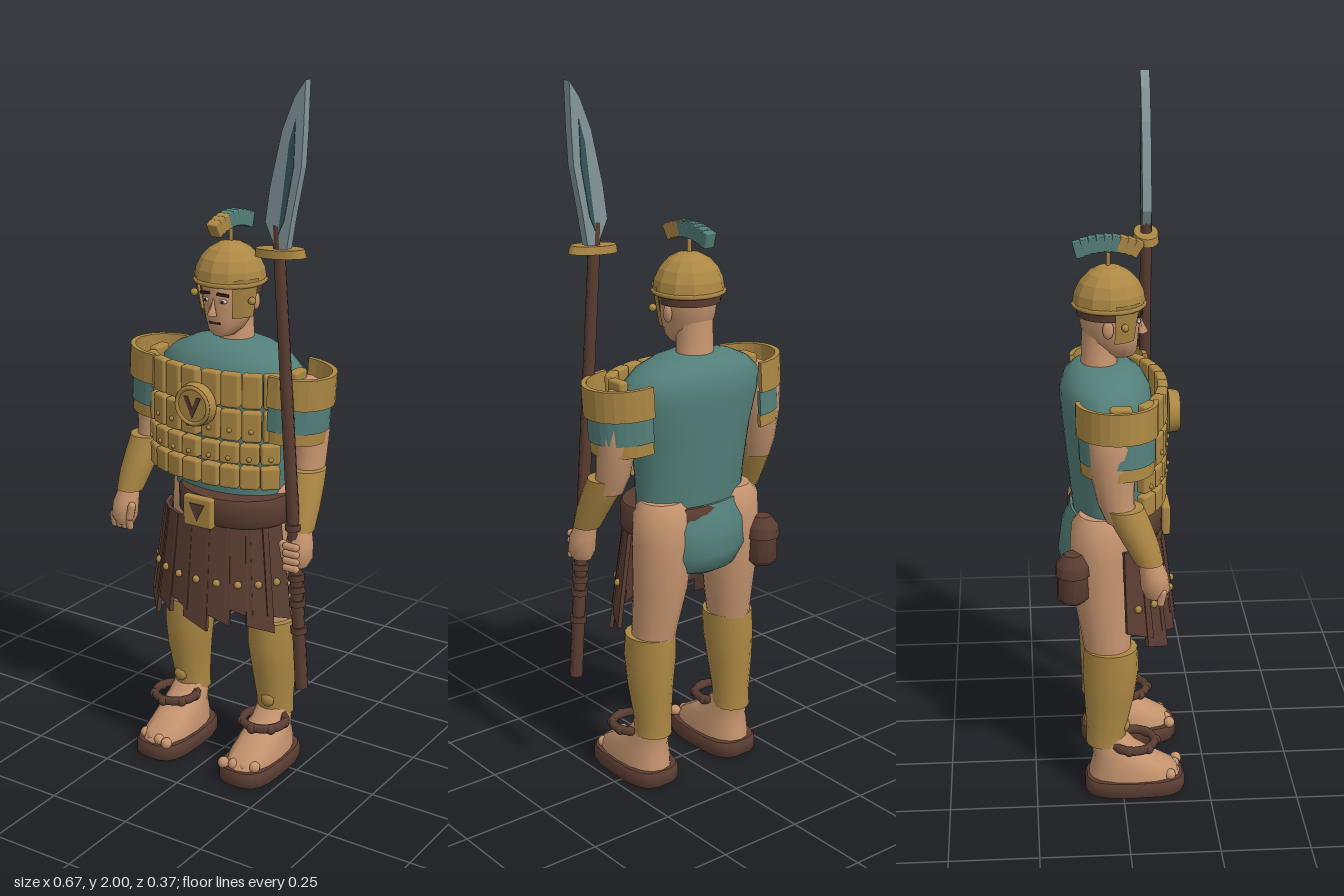
import * as THREE from 'three';
import { toCreasedNormals } from 'three/addons/utils/BufferGeometryUtils.js';
import { RoundedBoxGeometry } from 'three/addons/geometries/RoundedBoxGeometry.js';

const mat = (name, color, side = THREE.FrontSide) =>
  Object.assign(new THREE.MeshStandardMaterial({ color, side }), { name });

export function createModel() {
  const gold = mat('gold', 0xac8844, THREE.DoubleSide);
  const teal = mat('teal cloth', 0x54807a);
  const skin = mat('skin', 0xc5946f);
  const brown = mat('brown leather', 0x5a3d32);
  const steel = mat('steel', 0x83969a);
  const dark = mat('dark brown', 0x33231e);
  const slate = mat('dark slate', 0x35565a);
  const white = mat('eye white', 0xd8cfc4);

  const model = new THREE.Group();
  model.name = 'guard';
  const add = (name, geo, m, pos = [0, 0, 0], rot = [0, 0, 0], parent = model) => {
    const mesh = new THREE.Mesh(geo, m);
    mesh.name = name;
    mesh.position.set(...pos);
    mesh.rotation.set(rot[0], rot[1], rot[2], 'YXZ');
    parent.add(mesh);
    return mesh;
  };

  // Closed skin over level rings [x, y, z, rx, rz], listed from bottom to top
  const loft = (rings, seg = 16, power = 1) => {
    const first = rings[0], last = rings[rings.length - 1];
    const tip = r => [r[0], r[1], r[2], 0.0005, 0.0005];
    const all = [tip(first), ...rings, tip(last)];
    const p = [], idx = [];
    const bend = v => Math.sign(v) * Math.abs(v) ** power;
    all.forEach(([x, y, z, rx, rz], i) => {
      for (let j = 0; j < seg; j++) {
        const a = j / seg * Math.PI * 2;
        p.push(x + rx * bend(Math.cos(a)), y, z + rz * bend(Math.sin(a)));
        if (i < all.length - 1) {
          const k = i * seg, n = (j + 1) % seg;
          idx.push(k + j, k + seg + j, k + n, k + n, k + seg + j, k + seg + n);
        }
      }
    });
    const g = new THREE.BufferGeometry();
    g.setAttribute('position', new THREE.Float32BufferAttribute(p, 3));
    g.setIndex(idx);
    return toCreasedNormals(g, 0.8);
  };
  const flip = (s, rings) => rings.map(([x, ...r]) => [x * s, ...r]);
  const polygon = pts => new THREE.Shape(pts.map(q => new THREE.Vector2(...q)));
  const extrude = (pts, depth) => new THREE.ExtrudeGeometry(polygon(pts), { depth, bevelEnabled: false });
  const ball = r => new THREE.SphereGeometry(r, 10, 7);

  // Tunic, hips and belt
  add('tunic', loft([[0, 0.82, -0.03, 0.172, 0.1], [0, 0.92, -0.033, 0.176, 0.108], [0, 1.04, -0.036, 0.192, 0.118],
    [0, 1.14, -0.036, 0.22, 0.128], [0, 1.19, -0.04, 0.218, 0.125], [0, 1.225, -0.044, 0.18, 0.11],
    [0, 1.25, -0.048, 0.125, 0.085], [0, 1.262, -0.05, 0.075, 0.06]], 28), teal);
  add('tunicSeat', loft([[0, 0.63, -0.06, 0.06, 0.06], [0, 0.65, -0.065, 0.12, 0.09], [0, 0.7, -0.065, 0.152, 0.11],
    [0, 0.78, -0.06, 0.165, 0.105], [0, 0.84, -0.04, 0.165, 0.1]], 24), teal);
  add('belt', loft([[0.03, 0.758, -0.01, 0.163, 0.13], [0.03, 0.768, -0.01, 0.17, 0.137],
    [0.03, 0.83, -0.01, 0.17, 0.137], [0.03, 0.84, -0.01, 0.163, 0.13]], 28), brown);
  add('buckle', new RoundedBoxGeometry(0.095, 0.09, 0.025, 2, 0.008), gold, [0, 0.797, 0.13]);
  add('buckleInlay', extrude([[-0.025, 0.025], [0.025, 0.025], [0, -0.025]], 0.004), brown, [0, 0.797, 0.141]);
  add('pouch', loft([[-0.18, 0.62, -0.14, 0.03, 0.03], [-0.18, 0.635, -0.14, 0.045, 0.045],
    [-0.18, 0.71, -0.14, 0.043, 0.043]], 10), brown);
  add('pouchLid', loft([[-0.18, 0.705, -0.14, 0.05, 0.05], [-0.18, 0.735, -0.14, 0.048, 0.048],
    [-0.18, 0.765, -0.14, 0.025, 0.025]], 10), brown);

  // Leather skirt strips with studs
  for (let i = 0; i < 9; i++) {
    const a = (i - 4) * 0.33, len = 0.29 + 0.025 * ((i * 5) % 3 - 1);
    const strip = add('skirtStrip', extrude([[-0.032, 0], [0.032, 0], [0.044, -len], [-0.037, -len + 0.028]], 0.012),
      brown, [Math.sin(a) * 0.172, 0.765, Math.cos(a) * 0.112],
      [-0.13, Math.atan2(Math.sin(a) / 0.172, Math.cos(a) / 0.112), 0]);
    add('skirtStud', ball(0.011), gold, [0, -0.17, 0.013], [0, 0, 0], strip);
  }

  // Segmented chest armour
  const rows = [[0.88, 0.945], [0.952, 1.01], [1.018, 1.105], [1.112, 1.21]];
  for (const x of [-0.196, -0.147, -0.091, -0.033, 0.033, 0.091, 0.147, 0.196]) {
    const z = 0.118 * Math.sqrt(1 - (x / 0.23) ** 2), turn = Math.atan2(x / 0.0529, z / 0.0139);
    rows.forEach(([low, high], r) => {
      const plate = add('chestPlate', new RoundedBoxGeometry(0.054, high - low, 0.03, 2, 0.008), gold,
        [x * (r < 2 ? 0.96 : 1), (low + high) / 2, z], [0, turn, 0]);
      if (r === 1 || r === 2) add('plateStud', ball(0.007), gold, [0, -0.012, 0.015], [0, 0, 0], plate);
    });
  }
  add('medallion', new THREE.CylinderGeometry(0.058, 0.062, 0.026, 20), gold, [0, 1.112, 0.148], [Math.PI / 2, 0, 0]);
  add('medallionRim', new THREE.TorusGeometry(0.051, 0.006, 6, 20), gold, [0, 1.112, 0.161]);
  add('medallionInlay', extrude([[-0.028, 0.026], [-0.014, 0.026], [0, -0.008], [0.014, 0.026], [0.028, 0.026], [0, -0.034]], 0.003),
    brown, [0, 1.112, 0.161]);

  // Curved shoulder shell outline, open toward the body
  const arc = new THREE.Shape();
  arc.absellipse(0, 0, 0.125, 0.112, -1.65, 1.65, false);
  arc.absellipse(0, 0, 0.111, 0.098, 1.65, -1.65, true);

  for (const s of [1, -1]) {
    // Shoulder guards
    add('shoulderStrap', new RoundedBoxGeometry(0.03, 0.1, 0.06, 2, 0.008), gold, [s * 0.228, 1.16, -0.01]);
    const guard = new THREE.Group();
    guard.name = 'shoulderGuard';
    guard.position.set(s * 0.197, 1.02, -0.018);
    guard.rotation.set(0, s > 0 ? 0 : Math.PI, s * -0.06);
    model.add(guard);
    [[0, 0.035, gold, 0.89], [0.035, 0.07, teal, 0.92], [0.105, 0.087, gold, 1]].forEach(([y, h, m, k]) => {
      const band = add('guardBand', new THREE.ExtrudeGeometry(arc, { depth: h, bevelEnabled: false, curveSegments: 7 }),
        m, [0, y, 0], [-Math.PI / 2, 0, 0], guard);
      band.scale.set(k, k, 1);
    });

    // Arms, bracers and hands
    add('upperArm', loft(flip(s, [[0.265, 0.9, -0.01, 0.04, 0.043], [0.26, 0.95, -0.025, 0.046, 0.05],
      [0.257, 1.04, -0.035, 0.052, 0.06], [0.25, 1.12, -0.03, 0.062, 0.07], [0.245, 1.165, -0.03, 0.05, 0.058],
      [0.24, 1.185, -0.03, 0.025, 0.03]])), skin);
    add('bracer', loft(flip(s, [[0.287, 0.785, 0.062, 0.039, 0.039], [0.28, 0.84, 0.04, 0.047, 0.048],
      [0.27, 0.9, 0.012, 0.053, 0.054], [0.265, 0.94, -0.005, 0.054, 0.054]])), gold);
    add('hand', loft(flip(s, [[0.293, 0.685, 0.08, 0.026, 0.028], [0.294, 0.71, 0.08, 0.038, 0.04],
      [0.293, 0.75, 0.075, 0.038, 0.038], [0.288, 0.795, 0.062, 0.03, 0.03]])), skin);
    for (let i = 0; i < 4; i++) {
      const finger = new THREE.CapsuleGeometry(0.011, 0.03, 3, 8);
      if (s > 0) add('finger', finger, skin, [0.29, 0.688 + i * 0.021, 0.116], [0, 0, Math.PI / 2]);
      else add('finger', finger, skin, [-0.322 + i * 0.018, 0.694, 0.095], [0.2, 0, 0]);
    }
    add('thumb', new THREE.CapsuleGeometry(0.012, 0.035, 3, 8), skin, [s * 0.258, 0.73, 0.1], [0, 0, s * 0.2]);

    // Legs and greaves
    add('leg', loft(flip(s, [[0.14, 0.42, -0.04, 0.058, 0.064], [0.134, 0.49, -0.045, 0.064, 0.07],
      [0.125, 0.6, -0.057, 0.077, 0.078], [0.12, 0.74, -0.063, 0.088, 0.083], [0.12, 0.83, -0.063, 0.084, 0.078],
      [0.12, 0.86, -0.06, 0.06, 0.06]])), skin);
    add('greave', loft(flip(s, [[0.146, 0.15, -0.048, 0.053, 0.057], [0.146, 0.2, -0.046, 0.053, 0.058],
      [0.147, 0.3, -0.037, 0.063, 0.072], [0.144, 0.38, -0.033, 0.07, 0.08], [0.142, 0.455, -0.033, 0.071, 0.076]])), gold);
    add('greaveBoss', ball(0.022), gold, [s * 0.152, 0.205, 0.008]).scale.z = 0.6;

    // Sandals and feet
    add('foot', loft(flip(s, [[0.147, 0.04, 0.037, 0.07, 0.135], [0.147, 0.07, 0.03, 0.069, 0.125],
      [0.147, 0.11, 0.0, 0.06, 0.085], [0.146, 0.14, -0.025, 0.054, 0.065], [0.146, 0.18, -0.045, 0.046, 0.05]]), 16, 0.85), skin);
    add('sole', loft(flip(s, [[0.146, 0, 0.036, 0.08, 0.142], [0.146, 0.01, 0.036, 0.084, 0.146],
      [0.146, 0.036, 0.036, 0.084, 0.146], [0.146, 0.046, 0.036, 0.078, 0.14]]), 18, 0.65), brown);
    for (let i = 0; i < 4; i++)
      add('toe', ball(0.017), skin, [s * (0.1 + i * 0.03), 0.055, 0.16 - i * 0.008]);
    add('ankleStrap', new THREE.TorusGeometry(0.062, 0.013, 6, 18), brown, [s * 0.155, 0.152, 0.03], [Math.PI / 2, 0, 0]);
    for (let i = 0; i < 7; i++) {
      const a = i / 7 * Math.PI * 2;
      add('strapBead', ball(0.015), brown, [s * 0.155 + Math.sin(a) * 0.062, 0.15, 0.03 + Math.cos(a) * 0.066]);
    }

    // Eyes, brows, ears and cheek guards
    add('eye', ball(0.012), white, [s * 0.028, 1.383, 0.052], [0, s * 0.3, 0]).scale.set(1, 0.5, 0.35);
    add('pupil', ball(0.005), dark, [s * 0.027, 1.383, 0.056]).scale.z = 0.4;
    add('brow', new THREE.BoxGeometry(0.034, 0.007, 0.008), dark, [s * 0.029, 1.402, 0.055], [0, s * 0.3, s * -0.12]);
    add('ear', ball(0.02), skin, [s * 0.078, 1.375, -0.035]).scale.set(0.5, 1.3, 0.8);
    add('cheekGuard', new THREE.CylinderGeometry(0.101, 0.082, 0.11, 5, 1, true, s > 0 ? 0.62 : -1.42, 0.8), gold, [0, 1.39, -0.03]);
    add('cheekStud', ball(0.011), gold, [s * 0.094, 1.385, 0.01]);
  }

  // Head and face
  add('neck', loft([[0, 1.22, -0.055, 0.066, 0.062], [0, 1.26, -0.055, 0.053, 0.051], [0, 1.37, -0.052, 0.052, 0.05]]), skin);
  add('head', loft([[0, 1.28, 0.0, 0.028, 0.04], [0, 1.297, -0.008, 0.046, 0.058], [0, 1.325, -0.018, 0.061, 0.07],
    [0, 1.36, -0.025, 0.071, 0.08], [0, 1.41, -0.028, 0.078, 0.085], [0, 1.46, -0.03, 0.074, 0.08]], 20), skin);
  add('nose', new THREE.ConeGeometry(0.016, 0.05, 4), skin, [0, 1.367, 0.06], [-0.15, 0, 0]);
  add('mouth', new THREE.BoxGeometry(0.036, 0.006, 0.006), dark, [0, 1.319, 0.049]);

  // Helmet with crest
  const dome = new THREE.SphereGeometry(0.1, 12, 5, 0, Math.PI * 2, 0, Math.PI / 2).toNonIndexed();
  dome.computeVertexNormals();
  add('helmet', dome, gold, [0, 1.428, -0.028]).scale.y = 1.07;
  add('helmetRim', new THREE.TorusGeometry(0.097, 0.007, 5, 20), gold, [0, 1.428, -0.028], [Math.PI / 2, 0, 0]);
  add('helmetBand', new THREE.CylinderGeometry(0.09, 0.088, 0.024, 16, 1, false, 1.45, 3.4), brown, [0, 1.41, -0.028]);
  add('crestPost', new THREE.CylinderGeometry(0.006, 0.006, 0.05, 8), gold, [0, 1.55, -0.03]);
  for (let i = 0; i < 9; i++) {
    const a = (4 - i) * 0.1;
    add(i < 3 ? 'crestHolder' : 'crestTuft', new RoundedBoxGeometry(0.034, 0.044, 0.024, 1, 0.003), i < 3 ? gold : teal,
      [0, 1.395 + 0.2 * Math.cos(a), -0.032 + 0.2 * Math.sin(a)], [a + 0.15, 0, 0]);
  }

  // Polearm
  const lean = 0.071;
  const onShaft = y => [0.315 - (y - 0.33) * 0.0709, y, 0.09];
  add('shaft', new THREE.CylinderGeometry(0.016, 0.019, 1.3, 8), brown, onShaft(0.975), [0, 0, lean]);
  for (const y of [0.5, 0.58, 0.62, 0.655, 0.8])
    add('gripRing', new THREE.CylinderGeometry(0.024, 0.024, 0.018, 10), brown, onShaft(y), [0, 0, lean]);
  add('handGuard', new THREE.CylinderGeometry(0.072, 0.077, 0.022, 16), gold, [0.231, 1.552, 0.09], [0, 0, 0.07]).scale.z = 0.48;
  add('blade', extrude([[0.225, 1.56], [0.257, 1.56], [0.272, 1.65], [0.298, 1.78], [0.303, 1.87], [0.307, 2],
    [0.275, 1.955], [0.24, 1.87], [0.205, 1.72], [0.192, 1.63]], 0.026), steel, [0, 0, 0.077]);
  add('bladeGroove', extrude([[0.232, 1.6], [0.25, 1.64], [0.276, 1.78], [0.28, 1.9], [0.262, 1.84], [0.25, 1.74]], 0.03),
    slate, [0, 0, 0.075]);

  return model;
}
